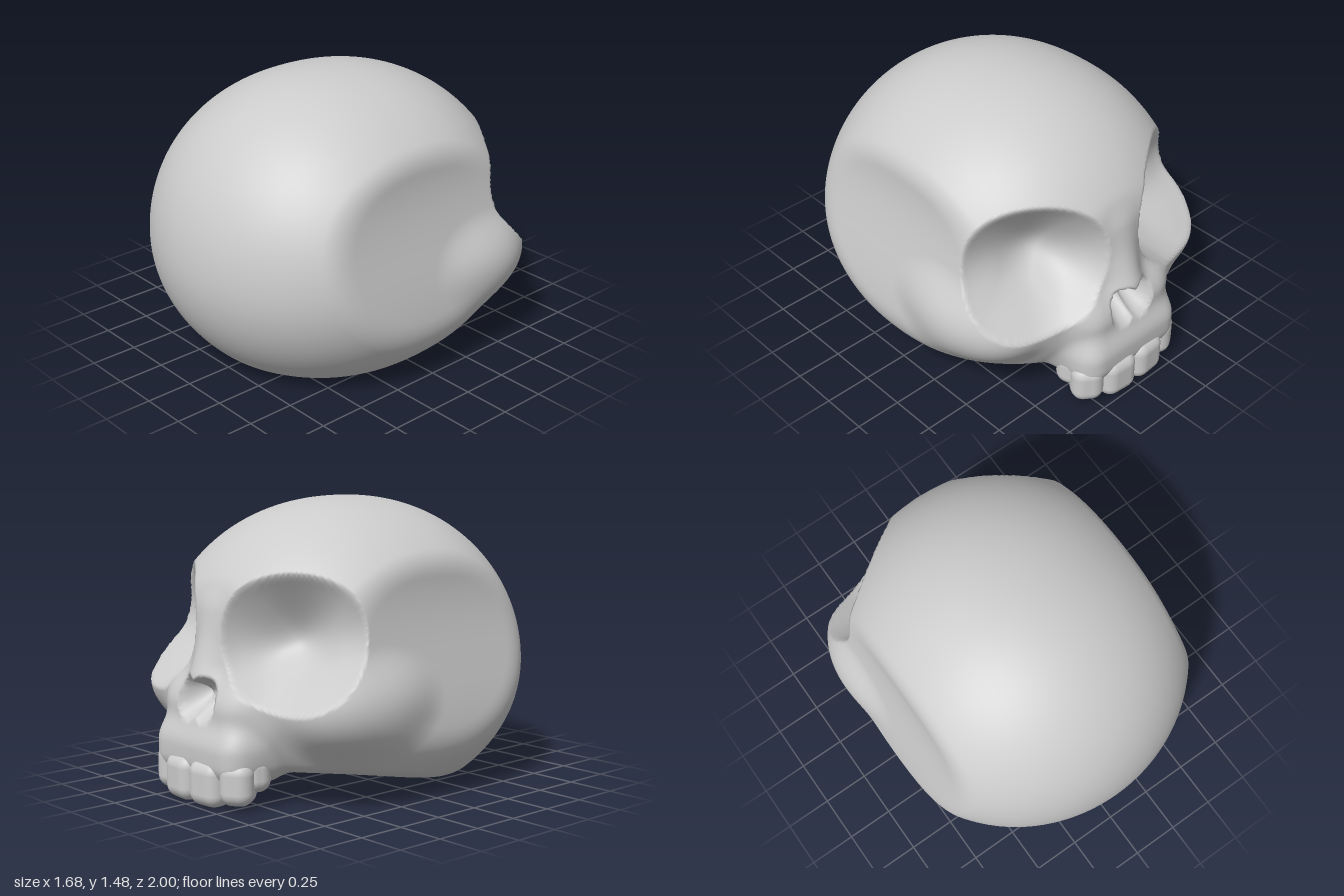
import * as THREE from 'three';
import { mergeVertices } from 'three/addons/utils/BufferGeometryUtils.js';
import { RoundedBoxGeometry } from 'three/addons/geometries/RoundedBoxGeometry.js';

const { smoothstep, clamp } = THREE.MathUtils;

// Blended union and blended intersection of two distances
const join = (a, b, k) => {
  const h = Math.max(k - Math.abs(a - b), 0) / k;
  return Math.min(a, b) - h * h * k / 4;
};
const meet = (a, b, k) => -join(-a, -b, k);

// Approximate distance to an ellipsoid
function ellipsoid(x, y, z, [cx, cy, cz], [rx, ry, rz]) {
  const px = (x - cx) / rx, py = (y - cy) / ry, pz = (z - cz) / rz;
  const k0 = Math.hypot(px, py, pz);
  const k1 = Math.hypot(px / rx, py / ry, pz / rz);
  return k1 < 1e-6 ? -Math.min(rx, ry, rz) : k0 * (k0 - 1) / k1;
}

function roundedBox(x, y, z, [cx, cy, cz], [hx, hy, hz], r) {
  const qx = Math.abs(x - cx) - hx + r, qy = Math.abs(y - cy) - hy + r, qz = Math.abs(z - cz) - hz + r;
  return Math.hypot(Math.max(qx, 0), Math.max(qy, 0), Math.max(qz, 0))
    + Math.min(Math.max(qx, qy, qz), 0) - r;
}

// Distance to a rod lying in the middle plane, given by (y, z) end points
function rod(x, y, z, [ay, az], [by, bz], r) {
  const dy = by - ay, dz = bz - az;
  const t = clamp(((y - ay) * dy + (z - az) * dz) / (dy * dy + dz * dz), 0, 1);
  return Math.hypot(x, y - ay - t * dy, z - az - t * dz) - r;
}

// Braincase: a dome trimmed by the temples, the flat base and the forehead
function braincase(x, y, z) {
  const X = x / 0.91;
  const Y = y > 0.62 ? (y - 0.62) / 0.87 : (0.62 - y) / 0.78;
  const Z = z > 0.05 ? (z - 0.05) / 0.95 : (0.05 - z) / 1.0;
  const dome = (Math.sqrt(X * X + Y * Y + Z ** 2.2) - 1) * 0.88;
  const temple = x - 0.815 + 0.13 * smoothstep(y, 0.25, 1.1);
  const base = 0.01 + 0.16 * (1 - smoothstep(z, -0.6, 0.5)) - y;
  const forehead = -0.84 - z;
  return meet(meet(meet(dome, temple, 0.05), base, 0.06), forehead, 0.06);
}

// Braincase and face as one field, negative inside
function skullField(px, y, z) {
  const x = Math.abs(px);
  let d = braincase(x, y, z);
  // cheekbone
  d = join(d, ellipsoid(x, y, z, [0.55, 0.51, -0.36], [0.285, 0.26, 0.41]), 0.08);
  // upper jaw and gum ridge
  d = join(d, ellipsoid(x, y, z, [0, 0.52, -0.6], [0.42, 0.3, 0.27]), 0.1);
  d = join(d, roundedBox(x, y, z, [0, 0.37, -0.7], [0.32, 0.23, 0.23], 0.13), 0.1);
  d = join(d, roundedBox(x, y, z, [0, 0.25, -0.8], [0.33, 0.13, 0.17], 0.1), 0.08);
  // nose bridge
  return join(d, rod(x, y, z, [0.92, -0.76], [0.63, -0.865], 0.07), 0.1);
}

// Hollows by direction from the core: turn from the face, slope upward, their half sizes, depth
const hollows = [
  { turn: 0.63, slope: 0.28, wide: 0.49, high: 0.46, depth: 0.34 }, // eye socket
  { turn: 0.065, slope: -0.155, wide: 0.11, high: 0.135, depth: 0.17 }, // nose opening
];

// Shrinks a fine ball along its rays onto the field, then presses in the hollows
function skullGeometry() {
  const ball = new THREE.IcosahedronGeometry(1, 72);
  ball.deleteAttribute('uv');
  ball.deleteAttribute('normal');
  const geometry = mergeVertices(ball, 1e-5);
  const pos = geometry.attributes.position;
  const core = new THREE.Vector3(0, 0.65, -0.1);
  const dir = new THREE.Vector3(), p = new THREE.Vector3();
  const inside = (r) => {
    p.copy(dir).multiplyScalar(r).add(core);
    return skullField(p.x, p.y, p.z) < 0;
  };
  for (let i = 0; i < pos.count; i++) {
    dir.fromBufferAttribute(pos, i).normalize();
    let outer = 1.3;
    while (outer > 0.1 && !inside(outer - 0.02)) outer -= 0.02;
    let inner = outer - 0.02;
    for (let k = 0; k < 10; k++) {
      const mid = (inner + outer) / 2;
      if (inside(mid)) inner = mid; else outer = mid;
    }
    const turn = Math.atan2(Math.abs(dir.x), -dir.z);
    const slope = dir.y / Math.hypot(dir.x, dir.z, 1e-6);
    for (const h of hollows) {
      const q = Math.hypot((turn - h.turn) / h.wide, (slope - h.slope) / h.high);
      inner -= h.depth * Math.max(0, 1 - q * q) ** 0.9;
    }
    p.copy(dir).multiplyScalar(inner).add(core);
    pos.setXYZ(i, p.x, p.y, p.z);
  }
  geometry.computeVertexNormals();
  return geometry;
}

export function createModel() {
  const model = new THREE.Group();
  model.name = 'skull';
  const bone = new THREE.MeshStandardMaterial({ color: 0xcccccc });

  const skull = new THREE.Mesh(skullGeometry(), bone);
  skull.name = 'craniumAndFace';
  model.add(skull);

  // Upper teeth, mirrored: position, size and turn around the arch
  const teeth = new THREE.Group();
  teeth.name = 'upperTeeth';
  const rows = [
    { name: 'frontTooth', at: [0.1, 0.12, -0.92], size: [0.21, 0.23, 0.16], turn: 0.08 },
    { name: 'sideTooth', at: [0.26, 0.14, -0.875], size: [0.17, 0.22, 0.17], turn: 0.6 },
    { name: 'backTooth', at: [0.285, 0.18, -0.79], size: [0.15, 0.19, 0.14], turn: 1.3 },
  ];
  for (const { name, at, size, turn } of rows) {
    for (const side of [1, -1]) {
      const tooth = new THREE.Mesh(new RoundedBoxGeometry(...size, 5, 0.065), bone);
      tooth.name = name + (side > 0 ? 'Left' : 'Right');
      tooth.position.set(side * at[0], at[1], at[2]);
      tooth.rotation.y = -side * turn;
      teeth.add(tooth);
    }
  }
  model.add(teeth);
  return model;
}
